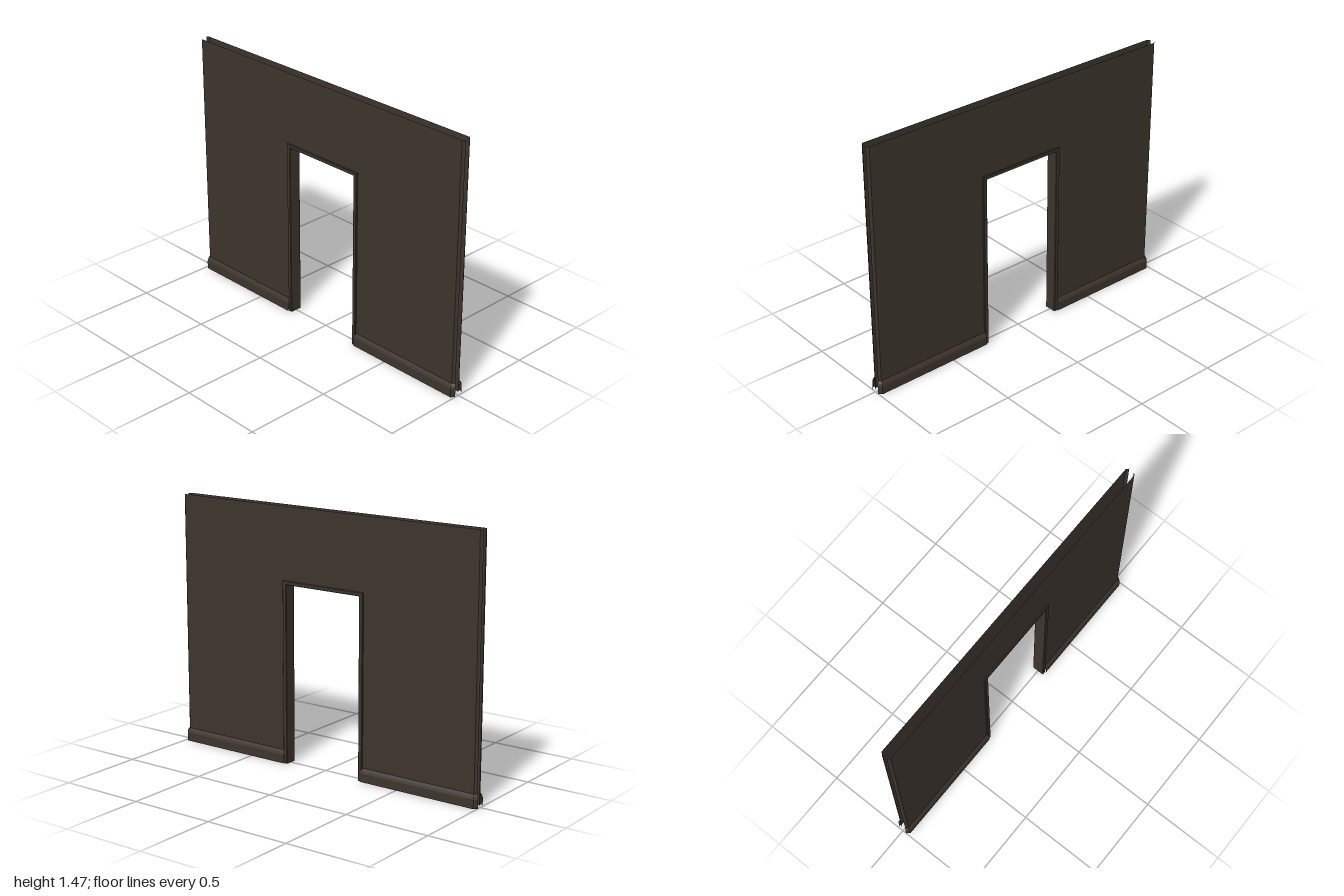
import * as THREE from 'three';

const wallBrown = new THREE.MeshStandardMaterial({ color: 0x3d352d, side: THREE.DoubleSide, flatShading: true });
wallBrown.name = 'wallBrown';

const H = 1.465;            // wall height
const DOOR = 0.245;         // half width of the opening
const FRAME = 0.27;         // outer half width of the frame
const FRAME_TOP = 1.052;
const SKIN_Z = 0.028, FOLD_X = 0.977;

function add(group, name, geometry) {
  const mesh = new THREE.Mesh(geometry, wallBrown);
  mesh.name = name;
  group.add(mesh);
  return mesh;
}

// Open sheet through equally long rows of [x, y, z] points, rows running upward
function sheet(rows) {
  const n = rows[0].length, index = [];
  for (let r = 0; r < rows.length - 1; r++) {
    for (let i = 0; i < n - 1; i++) {
      const a = r * n + i, b = a + 1, c = a + n, d = c + 1;
      index.push(a, b, d, a, d, c);
    }
  }
  const g = new THREE.BufferGeometry();
  g.setAttribute('position', new THREE.Float32BufferAttribute(rows.flat(2), 3));
  g.setIndex(index);
  const flat = g.toNonIndexed();
  flat.computeVertexNormals();
  return flat;
}

// Upside-down U around a doorway
function archShape(outerX, outerY, innerX, innerY) {
  return new THREE.Shape([
    [-outerX, 0], [-innerX, 0], [-innerX, innerY], [innerX, innerY],
    [innerX, 0], [outerX, 0], [outerX, outerY], [-outerX, outerY],
  ].map(([x, y]) => new THREE.Vector2(x, y)));
}

// One side of the wall: panel, folded end strips and skirting
function wallSide(name) {
  const side = new THREE.Group();
  side.name = name;

  add(side, 'panel', new THREE.ShapeGeometry(archShape(FOLD_X, H, FRAME - 0.01, FRAME_TOP - 0.01)))
    .position.z = SKIN_Z;

  add(side, 'leftEndFold', sheet([0, H].map(y => [[FOLD_X, y, SKIN_Z], [0.99, y, 0.015]])));
  add(side, 'rightEndFold', sheet([0, H].map(y => [[-0.99, y, 0.015], [-FOLD_X, y, SKIN_Z]])));

  // Skirting: height and how far it stands out from the panel
  const profile = [[0, 0.015], [0.05, 0.015], [0.062, 0.01], [0.076, 0]];
  const plan = (y, out) => [
    [FRAME - 0.005, y, SKIN_Z + out],
    [FOLD_X + out * 0.4, y, SKIN_Z + out],
    [0.99 + out * 0.66, y, 0.015 + out * 0.6],
  ];
  add(side, 'leftSkirting', sheet(profile.map(([y, o]) => plan(y, o))));
  add(side, 'rightSkirting', sheet(profile.map(([y, o]) =>
    plan(y, o).reverse().map(([x, py, z]) => [-x, py, z]))));
  return side;
}

export function createModel() {
  const model = new THREE.Group();
  model.name = 'doorwayWall';

  const front = wallSide('frontSide');
  const back = wallSide('backSide');
  back.rotation.y = Math.PI;
  model.add(front, back);

  // Door frame with slightly bevelled edges
  const bevel = 0.003;
  const frame = new THREE.ExtrudeGeometry(
    archShape(FRAME - bevel, FRAME_TOP - bevel, DOOR + bevel, 1.03 + bevel),
    { depth: 0.068, bevelEnabled: true, bevelThickness: bevel, bevelSize: bevel, bevelSegments: 1 });
  frame.translate(0, 0, -0.034);
  // Keep the feet flat on the floor
  const p = frame.attributes.position;
  for (let i = 0; i < p.count; i++) p.setY(i, Math.max(0, p.getY(i)));
  frame.computeVertexNormals();
  add(model, 'doorFrame', frame);

  return model;
}
